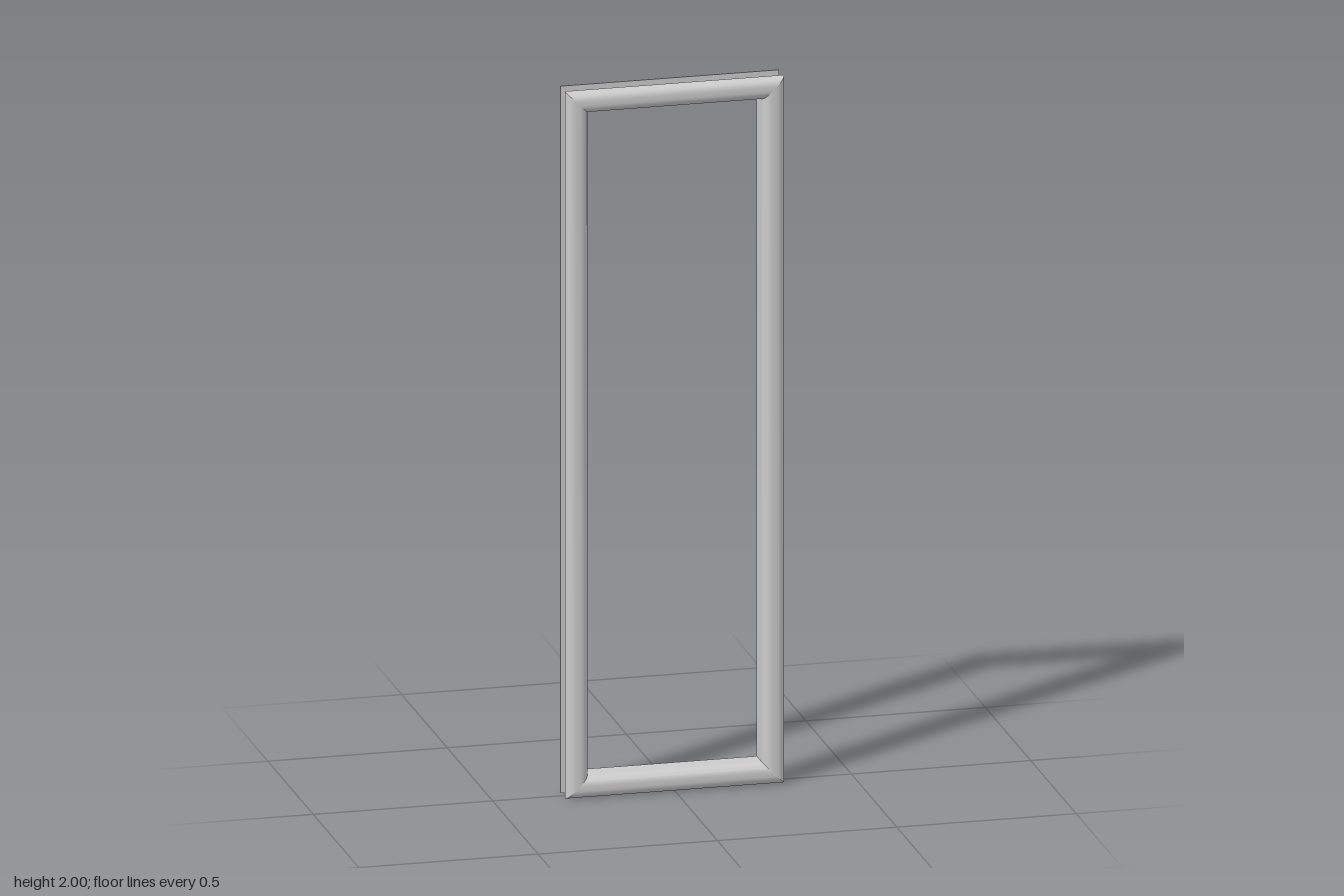
import * as THREE from 'three';
import { mergeGeometries, toCreasedNormals } from 'three/addons/utils/BufferGeometryUtils.js';

const HALF_W = 0.305, HALF_H = 1, BAR = 0.062, INNER_Z = 0.024, FACE_Z = 0.05;
const CORNERS = [[1, 1], [-1, 1], [-1, -1], [1, -1]];

// Sweeps a profile of [inset from the outer edge, z] round the rectangle with mitred corners
function mitredFrame(profile) {
  const bars = CORNERS.map((corner, i) => {
    const next = CORNERS[(i + 1) % 4];
    const positions = [], index = [];
    profile.forEach(([inset, z], k) => {
      for (const [sx, sy] of [corner, next]) {
        positions.push(sx * (HALF_W - inset), HALF_H + sy * (HALF_H - inset), z);
      }
      if (k > 0) {
        const a = 2 * k - 2, b = a + 1, d = a + 2, c = a + 3;
        index.push(a, b, c, a, c, d);
      }
    });
    const bar = new THREE.BufferGeometry();
    bar.setAttribute('position', new THREE.Float32BufferAttribute(positions, 3));
    bar.setIndex(index);
    return toCreasedNormals(bar, 0.6);
  });
  return mergeGeometries(bars);
}

// Half-round trim section: quarter arc, short flat crest, quarter arc, flat back
function trimProfile() {
  const r = FACE_Z - INNER_Z, steps = 8, points = [];
  for (let i = 0; i <= steps; i++) {
    const t = (i / steps) * Math.PI / 2;
    points.push([r - r * Math.cos(t), INNER_Z + r * Math.sin(t)]);
  }
  const mirrored = points.map(([inset, z]) => [BAR - inset, z]).reverse();
  return [...points, ...mirrored, points[0]];
}

export function createModel() {
  const model = new THREE.Group();
  model.name = 'doubleTrimFrame';
  const material = new THREE.MeshStandardMaterial({ color: 0xcccccc, side: THREE.DoubleSide });
  const add = (name, geometry) => {
    const mesh = new THREE.Mesh(geometry, material);
    mesh.name = name;
    model.add(mesh);
    return mesh;
  };

  // Matching rounded trims on both faces
  const trim = mitredFrame(trimProfile());
  add('frontTrim', trim);
  add('backTrim', trim).rotation.y = Math.PI;

  // Thin liner joining the inner edges of the two trims
  add('openingLiner', mitredFrame([[BAR, INNER_Z], [BAR, -INNER_Z]]));

  return model;
}
